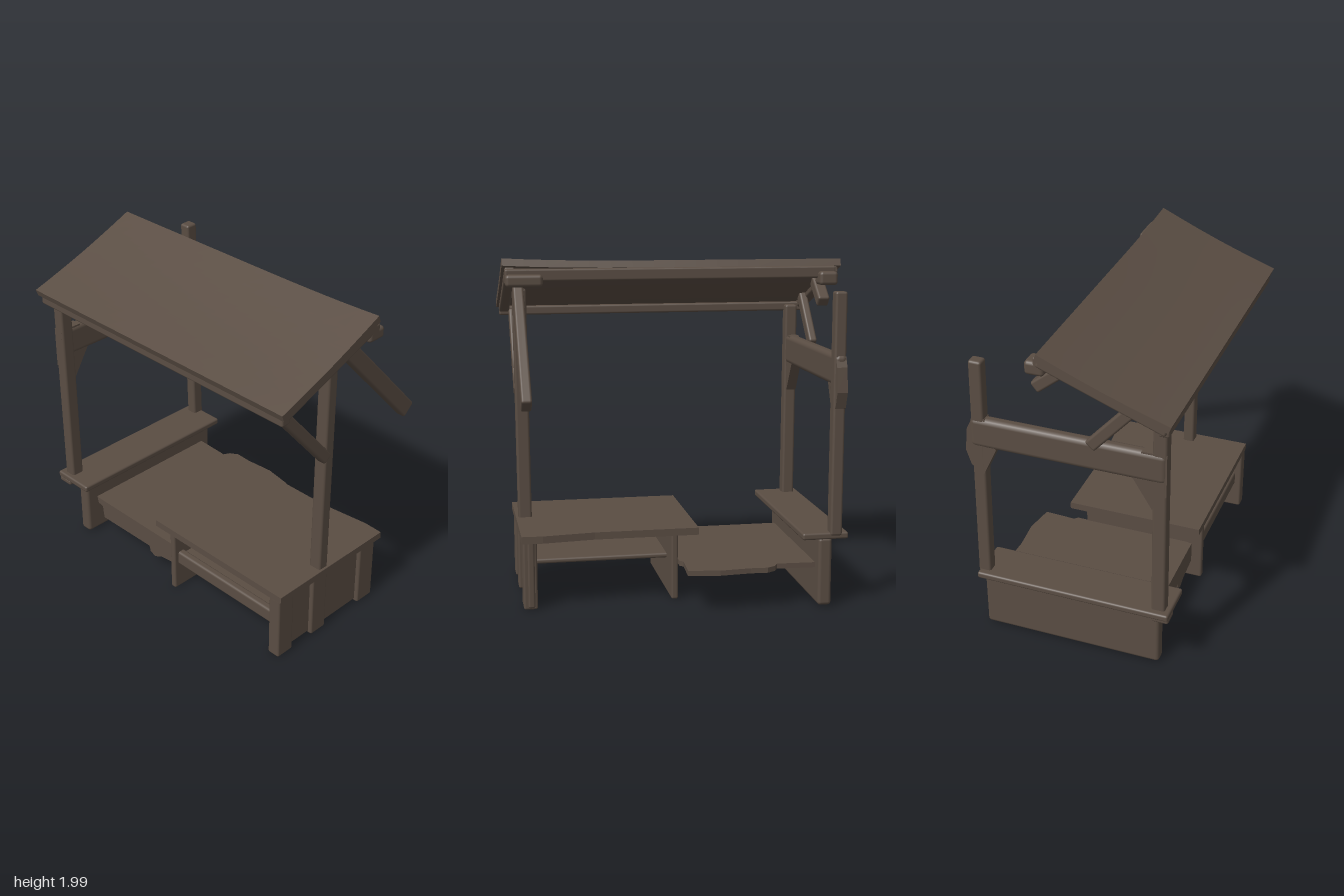
import * as THREE from 'three';
import { RoundedBoxGeometry } from 'three/addons/geometries/RoundedBoxGeometry.js';

const wood = new THREE.MeshStandardMaterial({ color: 0x5a4d43 });
wood.name = 'weathered wood';

export function createModel() {
  const model = new THREE.Group();
  model.name = 'marketStall';

  const add = (name, geometry) => {
    const mesh = new THREE.Mesh(geometry, wood);
    mesh.name = name;
    model.add(mesh);
    return mesh;
  };

  // Softened board given by its limits on each axis
  const board = (name, [x0, x1], [y0, y1], [z0, z1], r = 0.012) => {
    const mesh = add(name, new RoundedBoxGeometry(x1 - x0, y1 - y0, z1 - z0, 2, r));
    mesh.position.set((x0 + x1) / 2, (y0 + y1) / 2, (z0 + z1) / 2);
    return mesh;
  };

  // Softened timber running from a to b, w across x and t across the other way
  const beam = (name, a, b, w, t, r = 0.014) => {
    const p = new THREE.Vector3(...a), q = new THREE.Vector3(...b);
    const dir = q.clone().sub(p);
    const mesh = add(name, new RoundedBoxGeometry(w, dir.length(), t, 2, r));
    mesh.position.copy(p).add(q).multiplyScalar(0.5);
    mesh.quaternion.setFromUnitVectors(new THREE.Vector3(0, 1, 0), dir.normalize());
    return mesh;
  };

  // Flat outline pulled to a thickness
  const plate = (points, depth) => new THREE.ExtrudeGeometry(
    new THREE.Shape(points.map(p => new THREE.Vector2(...p))),
    { depth, bevelEnabled: false });

  // Roof sheet, slightly sagging in the middle, with the left rear corner lifted
  const roof = new THREE.BoxGeometry(1.97, 0.04, 1, 16, 1, 6);
  const v = new THREE.Vector3(), pos = roof.attributes.position;
  for (let i = 0; i < pos.count; i++) {
    v.fromBufferAttribute(pos, i);
    const s = 0.5 - v.z;                                // 0 at the eave, 1 at the ridge
    const lift = 0.02 * s * Math.max(0, v.x) ** 3;
    const sag = 0.012 * Math.sin(Math.PI * s);
    pos.setXYZ(i, v.x, 1.685 + 0.275 * s + v.y - sag + lift, 0.59 - 0.72 * s + v.y * 0.38);
  }
  roof.computeVertexNormals();
  add('roof', roof);

  // Roof frame: rafters at both gables, eave beam and ridge beam
  for (const x of [-0.94, 0.94])
    beam('gableRafter', [x, 1.655, 0.57], [x, 1.925, -0.13], 0.06, 0.06);
  board('eaveBeam', [-0.96, 0.97], [1.62, 1.675], [0.52, 0.58]);
  board('ridgeBeam', [-0.95, 0.97], [1.87, 1.94], [-0.16, -0.09]);
  board('ridgeBlock', [0.76, 0.97], [1.84, 1.91], [-0.2, -0.08], 0.02);
  board('ridgeBlock', [-0.95, -0.84], [1.83, 1.91], [-0.21, -0.1], 0.02);

  // Left side: one post carrying two braces
  beam('leftPost', [0.865, 0.43, 0.13], [0.875, 1.81, 0.13], 0.08, 0.07);
  beam('leftFrontBrace', [0.885, 1.2, 0.14], [0.885, 1.645, 0.52], 0.06, 0.07);
  beam('leftRearBrace', [0.89, 1.84, 0.03], [0.89, 1.22, -0.54], 0.06, 0.1);

  // Right side: two posts, cross beam, knees and roof braces
  beam('rightFrontPost', [-0.855, 0.43, 0.51], [-0.86, 1.66, 0.51], 0.075, 0.08);
  beam('rightRearPost', [-0.855, 0.43, -0.54], [-0.865, 1.82, -0.515], 0.07, 0.075);
  beam('rightCrossBeam', [-0.865, 1.38, 0.55], [-0.865, 1.38, -0.57], 0.075, 0.18, 0.03);
  add('rightFrontKnee', plate([[-0.55, 1.22], [-0.47, 1.12], [-0.36, 1.3], [-0.41, 1.47], [-0.55, 1.47]], 0.06)
    .rotateY(Math.PI / 2).translate(-0.895, 0, 0));
  add('rightRearKnee', plate([[0.5, 1.12], [0.57, 1.17], [0.6, 1.26], [0.585, 1.4], [0.55, 1.47], [0.48, 1.47], [0.42, 1.29]], 0.06)
    .rotateY(Math.PI / 2).translate(-0.895, 0, 0));
  beam('rightRoofBrace', [-0.9, 1.73, 0.38], [-0.9, 1.45, 0.13], 0.05, 0.07);
  beam('rightBrokenBrace', [-0.87, 1.85, -0.03], [-0.87, 1.73, -0.18], 0.07, 0.07);

  // Right side rail on its upright board
  board('rightRail', [-0.93, -0.66], [0.41, 0.45], [-0.57, 0.58]);
  board('railNose', [-0.92, -0.82], [0.385, 0.42], [0.48, 0.58]);
  board('rightSidePanel', [-0.835, -0.755], [0.02, 0.42], [-0.57, 0.5], 0.02);

  // Low deck with a ragged rear edge and a front skirt
  add('deck', plate([[-0.76, 0.42], [-0.7, 0.41], [-0.2, 0.41], [0.01, 0.4], [0.01, -0.33], [-0.01, -0.35],
    [0, -0.54], [-0.18, -0.57], [-0.36, -0.555], [-0.46, -0.56], [-0.51, -0.53], [-0.53, -0.49], [-0.76, -0.5]], 0.03)
    .rotateX(Math.PI / 2).translate(0, 0.26, 0));
  add('deckSkirt', plate([[-0.75, 0.26], [-0.74, 0.22], [-0.7, 0.21], [-0.69, 0.13], [-0.26, 0.135], [-0.25, 0.1],
    [-0.21, 0.08], [-0.15, 0.11], [0, 0.13], [0, 0.26]], 0.03).translate(0, 0, 0.395));

  // Counter top, widening a little toward the left rear
  add('counterTop', plate([[-0.105, 0.5], [0.92, 0.5], [0.92, -0.36], [0.8, -0.365], [0.5, -0.33], [-0.105, -0.33]], 0.042)
    .rotateX(Math.PI / 2).translate(0, 0.452, 0));

  // Counter base: side panels with uprights, front bar and shelf
  board('counterLeftPanel', [0.845, 0.885], [0.02, 0.42], [-0.33, 0.49]);
  for (const [z0, z1] of [[0.38, 0.5], [0.1, 0.22], [-0.32, -0.19]])
    board('counterUpright', [0.83, 0.91], [0.01, 0.42], [z0, z1]);
  board('counterRightPanel', [0.005, 0.045], [0.01, 0.42], [-0.27, 0.49]);
  board('counterFrontBar', [0.03, 0.86], [0.18, 0.27], [0.41, 0.46], 0.015);
  board('counterShelf', [0.03, 0.86], [0.215, 0.245], [-0.1, 0.43]);

  return model;
}
